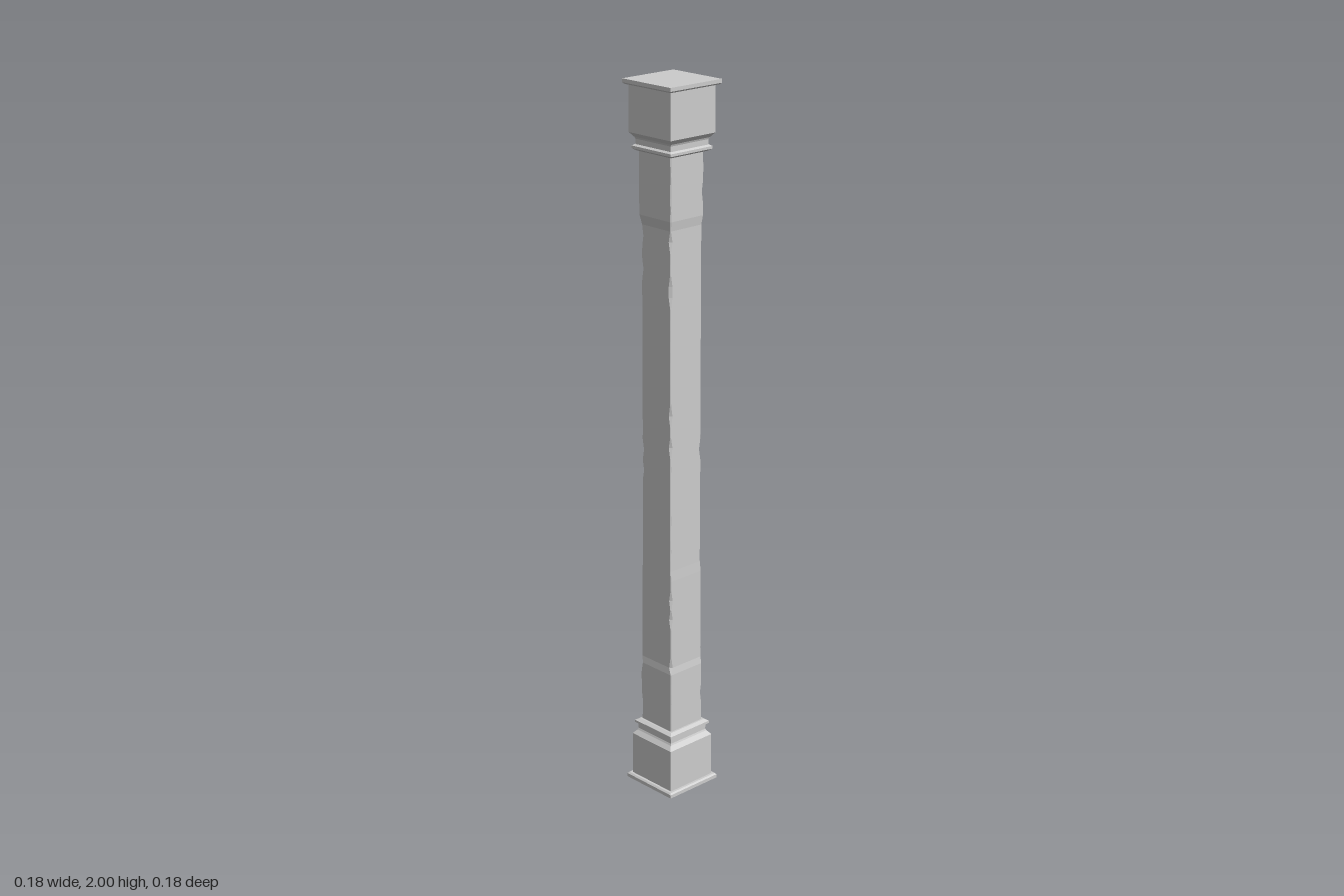
import * as THREE from 'three';

const material = new THREE.MeshStandardMaterial({ color: 0xcccccc, flatShading: true });

// Small repeatable pseudo-random value in 0..1
const noise = (n) => {
  const s = Math.sin(n * 127.1 + 11.7) * 43758.5453;
  return s - Math.floor(s);
};

// Square section with cut corners, counter-clockwise from above.
// s: y, x0, x1, z0, z1, cuts (one for each corner)
function section({ y, x0, x1, z0, z1, cuts }) {
  const corners = [[x0, z1, 1, -1], [x1, z1, -1, -1], [x1, z0, -1, 1], [x0, z0, 1, 1]];
  return corners.flatMap(([x, z, sx, sz], i) => {
    const alongZ = [x, y, z + sz * cuts[i]];
    const alongX = [x + sx * cuts[i], y, z];
    return i % 2 === 0 ? [alongZ, alongX] : [alongX, alongZ];
  });
}

// Skin a stack of sections and close both ends
function loft(name, sections) {
  const rings = sections.map(section);
  const n = rings[0].length;
  const pos = [];
  const tri = (a, b, c) => pos.push(...a, ...b, ...c);
  for (let i = 0; i < rings.length - 1; i++) {
    for (let j = 0; j < n; j++) {
      const k = (j + 1) % n;
      tri(rings[i][j], rings[i][k], rings[i + 1][k]);
      tri(rings[i][j], rings[i + 1][k], rings[i + 1][j]);
    }
  }
  const bottom = rings[0], top = rings[rings.length - 1];
  for (let j = 1; j < n - 1; j++) {
    tri(bottom[0], bottom[j + 1], bottom[j]);
    tri(top[0], top[j], top[j + 1]);
  }
  const geometry = new THREE.BufferGeometry();
  geometry.setAttribute('position', new THREE.Float32BufferAttribute(pos, 3));
  geometry.computeVertexNormals();
  const mesh = new THREE.Mesh(geometry, material);
  mesh.name = name;
  return mesh;
}

// Centred square section
const square = (y, h, cut = 0.0008) =>
  ({ y, x0: -h, x1: h, z0: -h, z1: h, cuts: [cut, cut, cut, cut] });

// Stepped end of the post: plate, block, sloped shoulder, neck and ring
function endPiece(prefix, isTop) {
  const place = (list) => {
    const s = list.map(([y, h]) => square(isTop ? 2 - y : y, h));
    return isTop ? s.reverse() : s;
  };
  const group = new THREE.Group();
  group.name = prefix;
  group.add(
    loft(prefix + 'Plate', place([[0, 0.09], [0.01, 0.09], [0.014, 0.086]])),
    loft(prefix + 'Block', place([[0.012, 0.079], [0.138, 0.079], [0.15, 0.069], [0.155, 0.067]])),
    loft(prefix + 'Neck', place([[0.15, 0.067], [0.172, 0.067]])),
    loft(prefix + 'Ring', place([[0.169, 0.068], [0.173, 0.074], [0.18, 0.074], [0.186, 0.064]])),
  );
  return group;
}

// Long shaft with thicker, worn blocks at both ends
function shaft() {
  const outline = [
    // y, x0, x1, z0, z1
    [0.18, -0.063, 0.059, -0.059, 0.059],
    [0.36, -0.063, 0.059, -0.059, 0.059],
    [0.38, -0.062, 0.056, -0.058, 0.057],
    [0.64, -0.060, 0.056, -0.058, 0.057],
    [0.67, -0.057, 0.055, -0.055, 0.057],
    [1.62, -0.055, 0.055, -0.055, 0.057],
    [1.645, -0.063, 0.058, -0.058, 0.059],
    [1.83, -0.063, 0.058, -0.058, 0.059],
  ];
  const sections = [];
  outline.forEach((a, i) => {
    const b = outline[i + 1];
    const steps = b ? Math.max(1, Math.round((b[0] - a[0]) / 0.03)) : 1;
    for (let s = 0; s < steps; s++) {
      const v = b ? a.map((p, k) => p + (b[k] - p) * s / steps) : a;
      // Corners are slightly eased, with an occasional chip
      const cuts = [0, 1, 2, 3].map((c) => {
        const r = noise(sections.length * 4 + c);
        return r > 0.9 ? 0.007 : 0.0015 + r * 0.0012;
      });
      sections.push({ y: v[0], x0: v[1], x1: v[2], z0: v[3], z1: v[4], cuts });
    }
  });
  return loft('shaft', sections);
}

export function createModel() {
  const model = new THREE.Group();
  model.name = 'post';
  model.add(endPiece('base', false), shaft(), endPiece('capital', true));
  return model;
}
